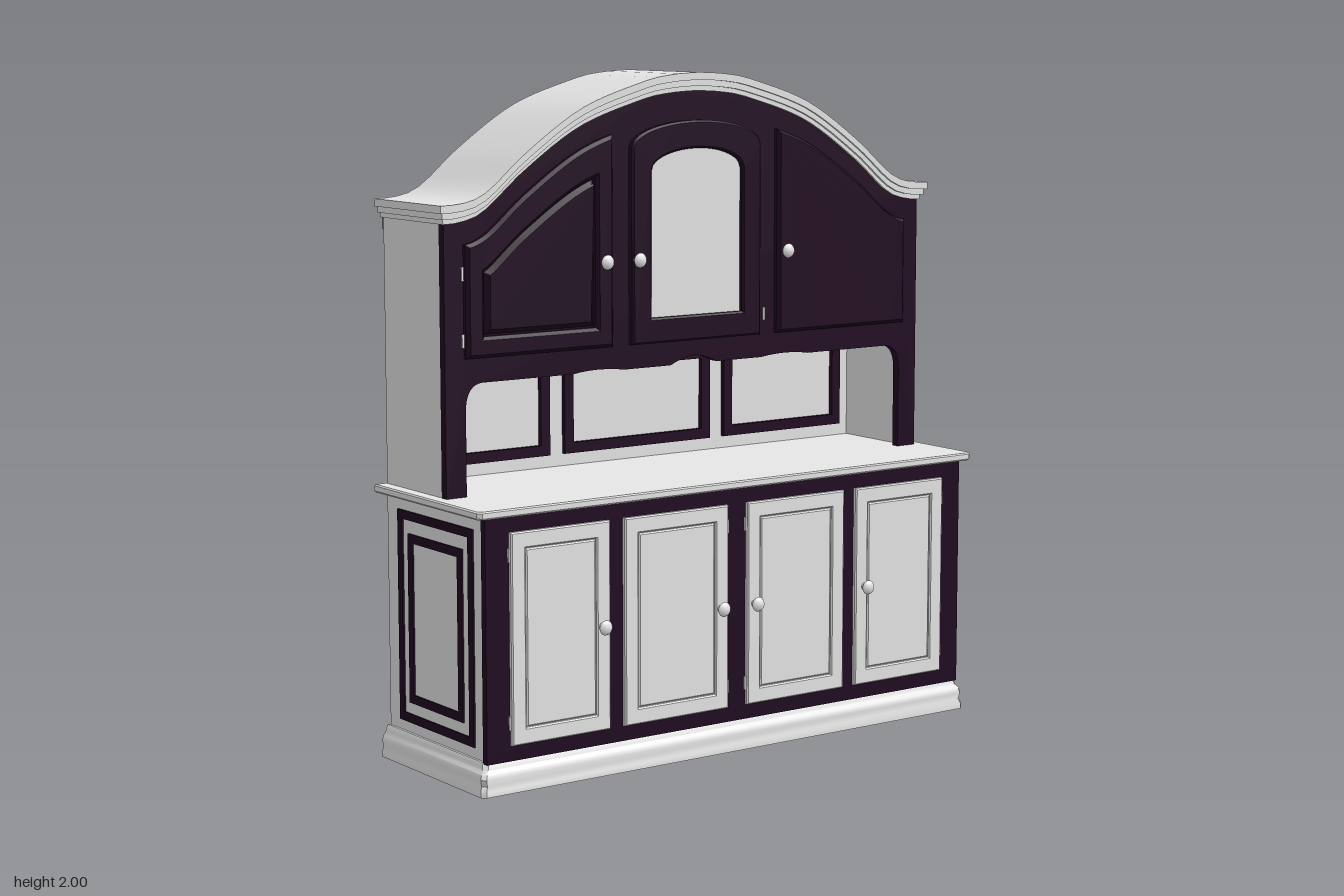
import * as THREE from 'three';
import { toCreasedNormals } from 'three/addons/utils/BufferGeometryUtils.js';

const mat = (name, color) => {
  const m = new THREE.MeshStandardMaterial({ color });
  m.name = name;
  return m;
};

// Height of the arched crown across the width
const archPoints = new THREE.SplineCurve([
  [0, 2], [0.1, 1.994], [0.2, 1.975], [0.41, 1.905], [0.6, 1.785], [0.73, 1.68], [0.81, 1.65], [0.9, 1.645],
].map(([x, y]) => new THREE.Vector2(x, y))).getPoints(80);
function arch(x) {
  const a = Math.abs(x);
  const i = Math.max(1, archPoints.findIndex((p) => p.x >= a));
  const p = archPoints[i - 1], q = archPoints[i];
  return p.y + (q.y - p.y) * (a - p.x) / (q.x - p.x);
}

// Outline whose bottom and top are heights or rules of x
function outline(x0, x1, bottom, top, Type = THREE.Shape) {
  const rule = (r, x) => (typeof r === 'function' ? r(x) : r);
  const n = typeof top === 'function' ? 48 : 1;
  const xs = Array.from({ length: n + 1 }, (_, i) => x0 + (x1 - x0) * i / n);
  return new Type([
    ...xs.map((x) => new THREE.Vector2(x, rule(bottom, x))),
    ...xs.reverse().map((x) => new THREE.Vector2(x, rule(top, x))),
  ]);
}

export function createModel() {
  const model = new THREE.Group();
  model.name = 'dresser';
  const white = mat('white paint', 0xe6e6e6);
  const plum = mat('dark plum paint', 0x200821);

  function add(name, geometry, material) {
    const mesh = new THREE.Mesh(geometry, material);
    mesh.name = name;
    model.add(mesh);
    return mesh;
  }
  function box(name, x0, x1, y0, y1, z0, z1, material) {
    const mesh = add(name, new THREE.BoxGeometry(x1 - x0, y1 - y0, z1 - z0), material);
    mesh.position.set((x0 + x1) / 2, (y0 + y1) / 2, (z0 + z1) / 2);
    return mesh;
  }
  function plate(name, shape, z0, z1, material, bevel = 0) {
    const geo = new THREE.ExtrudeGeometry(shape, {
      depth: z1 - z0 - bevel, bevelEnabled: bevel > 0, bevelSegments: 1,
      bevelSize: bevel, bevelThickness: bevel, bevelOffset: -bevel,
    });
    geo.translate(0, 0, z0);
    return add(name, toCreasedNormals(geo, 0.5), material);
  }
  function frame(name, x0, x1, y0, y1, border, z0, z1, material, bevel = 0) {
    const shape = outline(x0, x1, y0, y1);
    shape.holes.push(outline(x0 + border, x1 - border, y0 + border, y1 - border, THREE.Path));
    return plate(name, shape, z0, z1, material, bevel);
  }

  // Moulded slab: rings at each [overhang, y] with clipped front corners, flush at the back
  function moulding(name, profile) {
    const pos = [], c = 0.012;
    const rings = profile.map(([o, y]) => {
      const w = 0.865 + o, f = 0.245 + o, b = -0.295 + Math.max(0, -o);
      return [[w, b], [-w, b], [-w, f - c], [-w + c, f], [w - c, f], [w, f - c]].map(([x, z]) => [x, y, z]);
    });
    for (let i = 0; i + 1 < rings.length; i++) {
      for (let j = 0; j < 6; j++) {
        const k = (j + 1) % 6;
        const a = rings[i][j], b = rings[i][k], d = rings[i + 1][j], e = rings[i + 1][k];
        pos.push(...a, ...b, ...e, ...a, ...e, ...d);
      }
    }
    const lo = rings[0], hi = rings[rings.length - 1];
    for (let j = 1; j < 5; j++) {
      pos.push(...lo[0], ...lo[j + 1], ...lo[j], ...hi[0], ...hi[j], ...hi[j + 1]);
    }
    const geo = new THREE.BufferGeometry();
    geo.setAttribute('position', new THREE.Float32BufferAttribute(pos, 3));
    add(name, toCreasedNormals(geo, 0.6), white);
  }

  // Plinth with a hollow underside, and the countertop
  moulding('plinth', [[-0.02, 0.03], [-0.02, 0], [0.024, 0], [0.024, 0.015], [0.018, 0.03], [0.022, 0.05],
    [0.018, 0.064], [0.01, 0.074], [0.008, 0.084], [0.002, 0.094]]);
  moulding('countertop', [[0, 0.787], [0.03, 0.791], [0.035, 0.796], [0.035, 0.811], [0.031, 0.815]]);

  // Lower cabinet
  box('lowerBody', -0.85, 0.85, 0.085, 0.79, -0.27, 0.235, white);
  box('lowerFrontFrame', -0.867, 0.867, 0.09, 0.788, 0.235, 0.257, plum);
  for (const s of [-1, 1]) {
    box('lowerSide', Math.min(s * 0.83, s * 0.86), Math.max(s * 0.83, s * 0.86), 0.085, 0.79, -0.29, 0.235, white);
    for (const [front, back, y0, y1] of [[0.185, -0.227, 0.125, 0.75], [0.127, -0.17, 0.185, 0.685]]) {
      const x0 = s > 0 ? -front : back, x1 = s > 0 ? -back : front;
      frame('sideInlay', x0, x1, y0, y1, 0.026, 0.859, 0.865, plum).rotation.y = s * Math.PI / 2;
    }
  }

  // Lower doors with raised panels and hinges
  [[-0.79, -0.455], [-0.405, -0.035], [0.035, 0.4], [0.445, 0.79]].forEach(([a, b], i) => {
    box('lowerDoor', a, b, 0.135, 0.745, 0.25, 0.262, white);
    frame('lowerDoorFrame', a, b, 0.135, 0.745, 0.048, 0.258, 0.27, white, 0.004);
    plate('lowerDoorPanel', outline(a + 0.05, b - 0.05, 0.185, 0.695), 0.26, 0.268, white, 0.004);
    const hx = i % 2 ? b : a;
    for (const y of [0.2, 0.68]) box('hinge', hx - 0.005, hx + 0.005, y - 0.02, y + 0.02, 0.25, 0.264, white);
  });

  // Knobs
  const knobGeo = new THREE.LatheGeometry([[0.012, 0], [0.008, 0.006], [0.007, 0.012], [0.02, 0.016],
    [0.022, 0.02], [0.018, 0.026], [0.008, 0.03], [0, 0.031]].map(([r, h]) => new THREE.Vector2(r, h)), 16);
  knobGeo.rotateX(Math.PI / 2);
  for (const [x, y, z] of [[-0.485, 0.44, 0.269], [-0.065, 0.44, 0.269], [0.06, 0.44, 0.269], [0.48, 0.44, 0.269],
    [-0.335, 1.46, 0.065], [-0.22, 1.46, 0.065], [0.325, 1.46, 0.065]]) {
    add('knob', knobGeo, white).position.set(x, y, z);
  }

  // Hutch carcass
  for (const s of [-1, 1]) {
    box('hutchSide', Math.min(s * 0.83, s * 0.86), Math.max(s * 0.83, s * 0.86), 0.812, 1.61, -0.29, 0.02, white);
  }
  plate('hutchBack', outline(-0.84, 0.84, 0.81, (x) => arch(x) - 0.04), -0.27, -0.255, white);
  box('nicheCeiling', -0.835, 0.835, 1.18, 1.2, -0.26, 0.02, white);

  // Framed panels at the back of the niche
  for (const [a, b] of [[-0.79, -0.325], [-0.272, 0.27], [0.325, 0.79]]) {
    frame('nichePanelFrame', a, b, 0.853, 1.138, 0.032, -0.256, -0.24, plum);
  }

  // Front face with scalloped valance and side stiles, drawn as a left half and its mirror
  const valance = new THREE.Path();
  valance.moveTo(-0.862, 0.814);
  valance.lineTo(-0.795, 0.814);
  valance.lineTo(-0.795, 1.07);
  valance.quadraticCurveTo(-0.79, 1.135, -0.74, 1.138);
  valance.lineTo(-0.43, 1.138);
  valance.quadraticCurveTo(-0.35, 1.152, -0.25, 1.138);
  valance.lineTo(-0.085, 1.138);
  valance.quadraticCurveTo(-0.04, 1.16, 0, 1.163);
  const half = valance.getPoints(8);
  const mirrored = half.slice(0, -1).reverse().map((p) => new THREE.Vector2(-p.x, p.y));
  const crown = Array.from({ length: 61 }, (_, i) => 0.862 - 1.724 * i / 60)
    .map((x) => new THREE.Vector2(x, arch(x) - 0.045));
  plate('hutchFront', new THREE.Shape([...half, ...mirrored, ...crown]), 0.02, 0.046, plum);

  // Upper side doors with sloping raised panels
  for (const s of [-1, 1]) {
    const span = (a, b) => (s > 0 ? [a, b] : [-b, -a]);
    const door = outline(...span(0.3, 0.8), 1.21, (x) => arch(x) - 0.12);
    door.holes.push(outline(...span(0.36, 0.74), 1.27, (x) => arch(x) - 0.22, THREE.Path));
    plate('upperSideDoor', door, 0.044, 0.068, plum, 0.01);
    plate('upperSidePanel', outline(...span(0.365, 0.735), 1.275, (x) => arch(x) - 0.226), 0.044, 0.064, plum, 0.014);
    for (const y of [1.26, 1.45]) {
      box('upperHinge', s * 0.803 - 0.004, s * 0.803 + 0.004, y - 0.02, y + 0.02, 0.044, 0.05, white);
    }
  }

  // Centre door with arched pane
  const curve = (base, rise, halfWidth) => (x) => base + rise * Math.sqrt(Math.max(0, 1 - (x / halfWidth) ** 2));
  const paneTop = curve(1.715, 0.063, 0.165);
  const centre = outline(-0.235, 0.235, 1.21, curve(1.785, 0.075, 0.235));
  centre.holes.push(outline(-0.165, 0.165, 1.285, paneTop, THREE.Path));
  plate('centreDoor', centre, 0.044, 0.068, plum, 0.006);
  plate('centrePane', outline(-0.168, 0.168, 1.28, paneTop), 0.044, 0.052, white);
  box('upperHinge', 0.256, 0.264, 1.25, 1.29, 0.044, 0.05, white);

  // Arched cornice in three steps
  for (const [t, b, w, z] of [[0, 0.022, 0.885, 0.07], [0.02, 0.04, 0.876, 0.062], [0.038, 0.054, 0.868, 0.053]]) {
    plate('cornice', outline(-w, w, (x) => arch(x) - b, (x) => arch(x) - t), -0.295, z, white);
  }
  plate('rearArchTrim', outline(-0.858, 0.858, (x) => arch(x) - 0.092, (x) => arch(x) - 0.042), -0.298, -0.268, plum);

  // Rear rails and dark strips
  for (const [y0, y1] of [[1.49, 1.58], [1.14, 1.23], [0.39, 0.47], [0.09, 0.13]]) {
    box('rearRail', -0.83, 0.83, y0, y1, -0.285, -0.268, white);
  }
  for (const y of [0.555, 0.305]) box('rearStrip', -0.83, 0.83, y - 0.012, y + 0.012, -0.276, -0.268, plum);

  return model;
}
